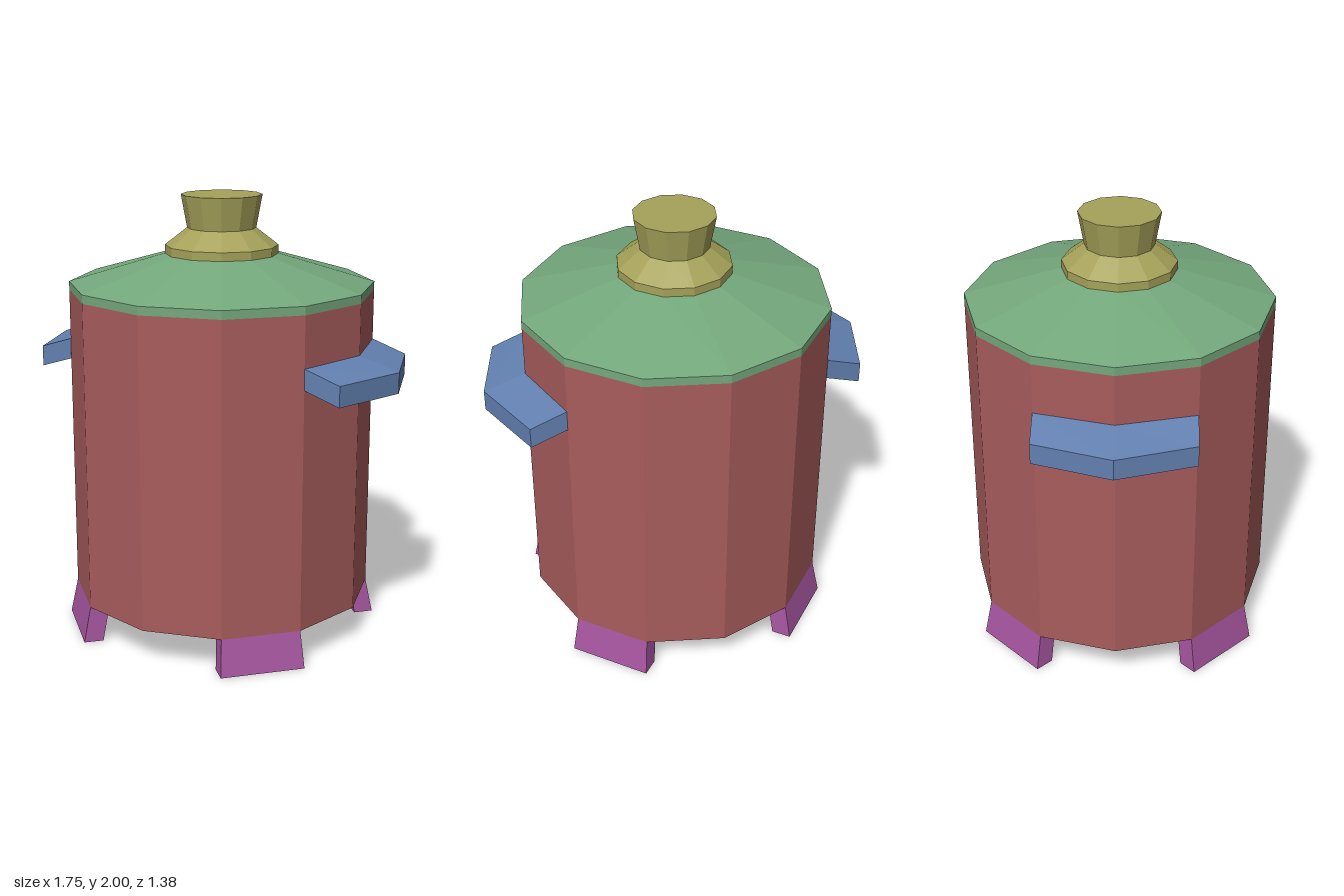
import * as THREE from 'three';

const SIDES = 12;

const paint = (color) => new THREE.MeshStandardMaterial({ color, flatShading: true });

function part(name, geometry, material) {
  const mesh = new THREE.Mesh(geometry, material);
  mesh.name = name;
  return mesh;
}

// Faceted turned shape from a bottom-to-top [radius, height] profile
const turned = (profile) =>
  new THREE.LatheGeometry(profile.map(([r, y]) => new THREE.Vector2(r, y)), SIDES);

// Capped solid through four-cornered sections, each counter-clockwise about the path
function loft(sections) {
  const index = [];
  const quad = (a, b, c, d) => index.push(a, b, c, a, c, d);
  const last = (sections.length - 1) * 4;
  for (let i = 0; i < last; i += 4) {
    for (let j = 0; j < 4; j++) {
      const k = (j + 1) % 4;
      quad(i + j, i + k, i + 4 + k, i + 4 + j);
    }
  }
  quad(3, 2, 1, 0);
  quad(last, last + 1, last + 2, last + 3);
  const geometry = new THREE.BufferGeometry();
  geometry.setAttribute('position', new THREE.Float32BufferAttribute(sections.flat(2), 3));
  geometry.setIndex(index);
  const flat = geometry.toNonIndexed();
  flat.computeVertexNormals();
  return flat;
}

export function createModel() {
  const group = new THREE.Group();
  const red = paint(0xa85c5c);
  const green = paint(0x74a87c);
  const yellow = paint(0xa6a25a);
  const blue = paint(0x6280b0);
  const purple = paint(0xa5559f);

  // Pot body, closed underneath
  group.add(part('body', turned([[0, 0.165], [0.69, 0.165], [0.69, 1.57], [0, 1.57]]), red));

  // Sloping lid with a thin rim
  group.add(part('lid', turned([[0.69, 1.57], [0.69, 1.608], [0.25, 1.738], [0, 1.738]]), green));

  // Waisted knob on a collar
  group.add(part('knob',
    turned([[0, 1.737], [0.255, 1.737], [0.255, 1.775], [0.155, 1.852], [0.182, 2], [0, 2]]), yellow));

  // Bent side handles, sloping down away from the body
  const handleSection = (z, inner, outer) => [
    [inner, 1.25, z], [outer, 1.197, z], [outer, 1.29, z], [inner, 1.343, z],
  ];
  const handleShape = loft([
    handleSection(-0.345, 0.598, 0.76),
    handleSection(0, 0.69, 0.877),
    handleSection(0.345, 0.598, 0.76),
  ]);
  ['leftHandle', 'rightHandle'].forEach((name, i) => {
    const handle = part(name, handleShape, blue);
    handle.rotation.y = i * Math.PI;
    group.add(handle);
  });

  // Splayed feet under the four diagonal faces
  const legSection = (y, inner, outer, half) => [
    [-half, y, inner], [-half, y, outer], [half, y, outer], [half, y, inner],
  ];
  const legShape = loft([
    legSection(0, 0.612, 0.7, 0.19),
    legSection(0.166, 0.578, 0.666, 0.179),
  ]);
  ['frontLeftLeg', 'backLeftLeg', 'backRightLeg', 'frontRightLeg'].forEach((name, i) => {
    const leg = part(name, legShape, purple);
    leg.rotation.y = Math.PI / 4 + i * Math.PI / 2;
    group.add(leg);
  });

  return group;
}
